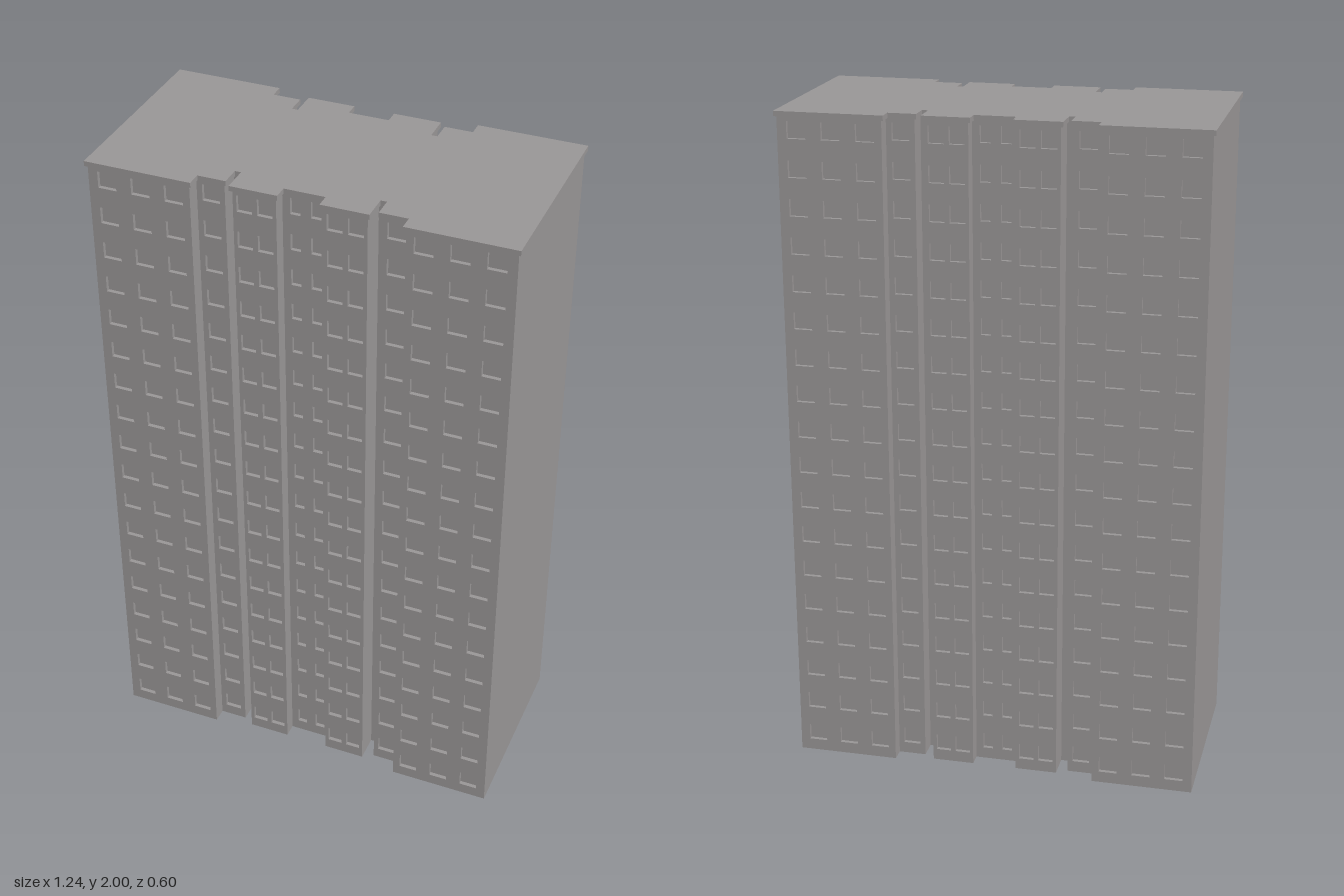
import * as THREE from 'three';
import { mergeGeometries } from 'three/addons/utils/BufferGeometryUtils.js';

const ROOF_Y = 1.985, FLOORS = 18, FLOOR_H = 0.111, SILL = 0.035, WIN_H = 0.05, RECESS = 0.012;
const HALF_W = 0.612, LIP = 0.007;

// Facade bays for the +x half: from x0 to x1 at depth z, windows as [centre, width]
const BAYS = [
  { x0: 0, x1: 0.067, z: 0.225, wins: [[0.03, 0.03]] },
  { x0: 0.067, x1: 0.193, z: 0.267, wins: [[0.1, 0.045], [0.16, 0.045]] },
  { x0: 0.193, x1: 0.225, z: 0.187, wins: [] },
  { x0: 0.225, x1: 0.308, z: 0.247, wins: [[0.266, 0.052]] },
  { x0: 0.308, x1: HALF_W, z: 0.291, wins: [[0.357, 0.055], [0.457, 0.055], [0.557, 0.055]] },
];

// Window niche: a box without its front face
function niche(x, y, z, w) {
  const g = new THREE.BoxGeometry(w, WIN_H, RECESS);
  const idx = Array.from(g.index.array);
  idx.splice(24, 6);
  g.setIndex(idx);
  g.clearGroups();
  return g.translate(x, y + WIN_H / 2, z - RECESS / 2).toNonIndexed();
}

// Wall panel with window openings, and the niches behind them
function bayGeometries(bay, side) {
  const a = Math.min(bay.x0 * side, bay.x1 * side), b = Math.max(bay.x0 * side, bay.x1 * side);
  const wall = new THREE.Shape([[a, 0], [b, 0], [b, ROOF_Y], [a, ROOF_Y]].map(p => new THREE.Vector2(...p)));
  const niches = [];
  for (const [c, w] of bay.wins) {
    for (let i = 0; i < FLOORS; i++) {
      const x = c * side, y = SILL + i * FLOOR_H, l = x - w / 2, r = x + w / 2;
      wall.holes.push(new THREE.Path(
        [[l, y], [l, y + WIN_H], [r, y + WIN_H], [r, y]].map(p => new THREE.Vector2(...p))));
      niches.push(niche(x, y, bay.z, w));
    }
  }
  const panel = new THREE.ShapeGeometry(wall).translate(0, 0, bay.z).toNonIndexed();
  return { panel, niches };
}

// Upright wall in the yz plane, facing dir along x
function sideWall(x, z0, z1, dir) {
  return new THREE.PlaneGeometry(Math.abs(z1 - z0), ROOF_Y)
    .rotateY(dir * Math.PI / 2)
    .translate(x, ROOF_Y / 2, (z0 + z1) / 2).toNonIndexed();
}

// Roof outline: the stepped facade pushed outwards by the lip
function roofShape() {
  const quarter = [];
  BAYS.forEach((b, i) => {
    const prev = BAYS[i - 1], next = BAYS[i + 1];
    const z = b.z + LIP;
    if (prev) quarter.push([b.x0 + (prev.z < b.z ? -LIP : LIP), z]);
    quarter.push([b.x1 + (!next || next.z < b.z ? LIP : -LIP), z]);
  });
  const back = [...quarter].reverse();
  const pts = [
    ...quarter,
    ...back.map(([x, z]) => [x, -z]),
    ...quarter.map(([x, z]) => [-x, -z]),
    ...back.map(([x, z]) => [-x, z]),
  ];
  return new THREE.Shape(pts.map(p => new THREE.Vector2(...p)));
}

export function createModel() {
  const model = new THREE.Group();
  model.name = 'apartmentTower';
  const concrete = new THREE.MeshStandardMaterial({ color: 0x999696, side: THREE.DoubleSide });
  concrete.name = 'concrete grey';
  const add = (parent, name, geo) => {
    const mesh = new THREE.Mesh(geo, concrete);
    mesh.name = name;
    parent.add(mesh);
  };

  // Long facades, the back one turned half round
  const panels = [], niches = [], returns = [];
  for (const side of [1, -1]) {
    BAYS.forEach((bay, i) => {
      const g = bayGeometries(bay, side);
      panels.push(g.panel);
      niches.push(...g.niches);
      const next = BAYS[i + 1];
      if (next) returns.push(sideWall(bay.x1 * side, bay.z, next.z, bay.z > next.z ? side : -side));
    });
  }
  const wallGeo = mergeGeometries(panels), nicheGeo = mergeGeometries(niches), returnGeo = mergeGeometries(returns);
  for (const [name, turn] of [['frontFacade', 0], ['backFacade', Math.PI]]) {
    const facade = new THREE.Group();
    facade.name = name;
    facade.rotation.y = turn;
    add(facade, 'wallPanels', wallGeo);
    add(facade, 'windowNiches', nicheGeo);
    add(facade, 'bayReturns', returnGeo);
    model.add(facade);
  }

  // Plain end walls
  const endZ = BAYS[BAYS.length - 1].z;
  add(model, 'leftEndWall', sideWall(HALF_W, -endZ, endZ, 1));
  add(model, 'rightEndWall', sideWall(-HALF_W, -endZ, endZ, -1));

  // Flat roof slab with a small overhang
  const roof = new THREE.ExtrudeGeometry(roofShape(), { depth: 2 - ROOF_Y, bevelEnabled: false });
  add(model, 'roofSlab', roof.rotateX(-Math.PI / 2).translate(0, ROOF_Y, 0));
  return model;
}
